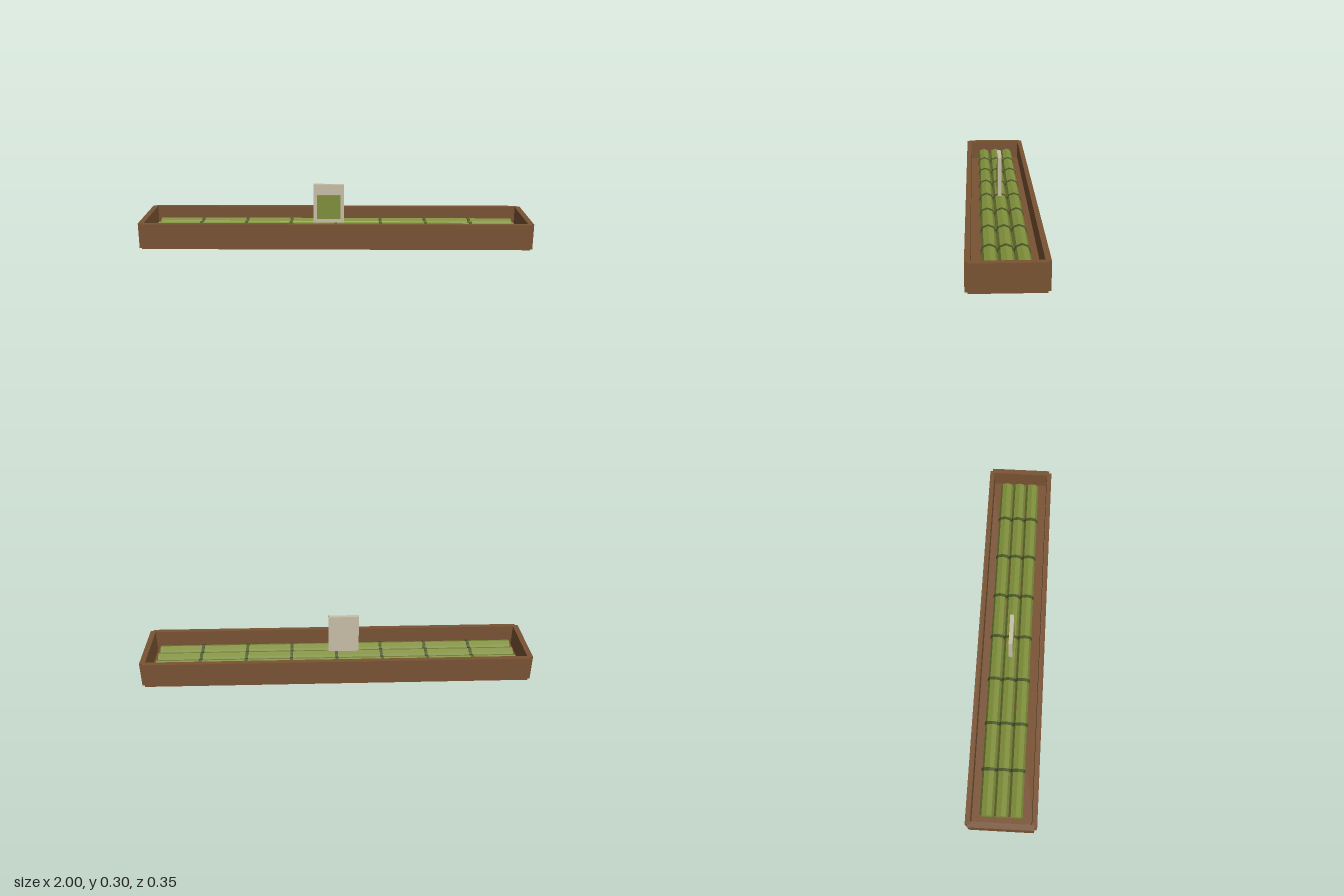
import * as THREE from 'three';

const material = (name, color) => {
  const m = new THREE.MeshStandardMaterial({ color });
  m.name = name;
  return m;
};

export function createModel() {
  const wood = material('brown wood', 0x795333);
  const bamboo = material('bamboo green', 0x80903b);
  const node = material('dark node green', 0x4c5829);
  const board = material('pale board', 0xc9bfa8);

  const model = new THREE.Group();
  model.name = 'bambooTray';

  const add = (name, geometry, mat, x, y, z, parent = model) => {
    const mesh = new THREE.Mesh(geometry, mat);
    mesh.name = name;
    mesh.position.set(x, y, z);
    parent.add(mesh);
    return mesh;
  };
  const box = (w, h, d) => new THREE.BoxGeometry(w, h, d);

  // Faceted rod along x with one ridge on top
  const rod = (radius, length) => {
    const g = new THREE.CylinderGeometry(radius, radius, length, 8).toNonIndexed();
    g.rotateZ(Math.PI / 2);
    g.computeVertexNormals();
    return g;
  };

  // Tray: floor and four boards, slightly stepped at the corners
  const H = 0.132;
  add('trayFloor', box(1.97, 0.018, 0.324), wood, 0, 0.011, 0);
  for (const s of [-1, 1]) {
    add(s > 0 ? 'frontBoard' : 'backBoard', box(1.97, H, 0.025), wood, 0, H / 2, s * 0.1625);
    add(s > 0 ? 'leftBoard' : 'rightBoard', box(0.028, H, 0.324), wood, s * 0.986, H / 2, 0);
  }

  // Three bamboo stalks with node rings
  const stalkGeometry = rod(0.035, 1.87);
  const ringGeometry = rod(0.039, 0.015);
  for (let i = -1; i <= 1; i++) {
    const stalk = new THREE.Group();
    stalk.name = 'bambooStalk';
    stalk.position.set(0, 0.056, -0.003 + i * 0.072);
    add('stalkRod', stalkGeometry, bamboo, 0, 0, 0, stalk);
    for (let k = -3; k <= 3; k++) {
      add('nodeRing', ringGeometry, node, k * 0.236, 0, 0, stalk);
    }
    model.add(stalk);
  }

  // Upright sign with a coloured panel and a pointed stake
  const sign = new THREE.Group();
  sign.name = 'sign';
  sign.position.x = -0.037;
  add('signBoard', box(0.158, 0.205, 0.02), board, 0, 0.1945, 0, sign);
  add('signPanel', box(0.122, 0.13, 0.004), bamboo, 0, 0.176, 0.011, sign);
  const stake = new THREE.ConeGeometry(0.012, 0.1, 4);
  stake.rotateX(Math.PI);
  add('signStake', stake, board, -0.065, 0.05, 0, sign);
  model.add(sign);

  return model;
}
